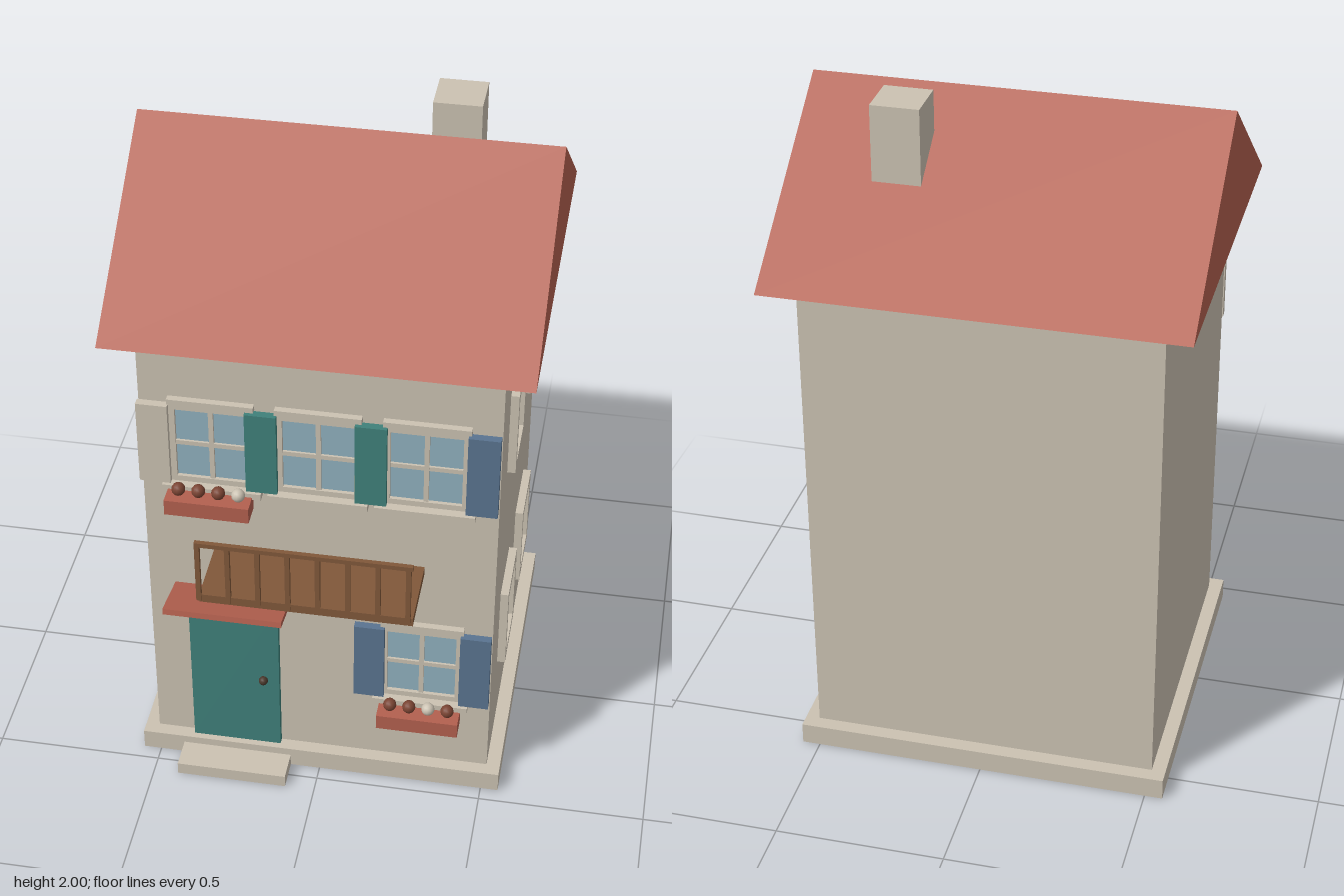
import * as THREE from 'three';

const mat = (name, color) => Object.assign(new THREE.MeshStandardMaterial({ color }), { name });

export function createModel() {
  const M = {
    stone: mat('stone', 0xcbc2b2),
    roof: mat('terracotta', 0xb3604f),
    wood: mat('wood', 0x80583a),
    teal: mat('teal paint', 0x3f807a),
    blue: mat('blue paint', 0x5a7490),
    glass: mat('glass', 0x90b0be),
    flower: mat('dark flower', 0x7a4433),
    knob: mat('dark metal', 0x4a382c),
  };
  const house = new THREE.Group();
  house.name = 'house';

  const add = (parent, name, geo, material, x = 0, y = 0, z = 0) => {
    const m = new THREE.Mesh(geo, material);
    m.name = name;
    m.position.set(x, y, z);
    parent.add(m);
    return m;
  };
  // Box given by its lower and upper limits on each axis
  const box = (parent, name, material, x0, x1, y0, y1, z0, z1) =>
    add(parent, name, new THREE.BoxGeometry(x1 - x0, y1 - y0, z1 - z0), material,
      (x0 + x1) / 2, (y0 + y1) / 2, (z0 + z1) / 2);
  const group = (name, x, y, z) => {
    const g = new THREE.Group();
    g.name = name;
    g.position.set(x, y, z);
    house.add(g);
    return g;
  };
  // Rectangular frame facing +z with an open middle
  const frameGeo = (w, h, border, depth) => {
    const rect = (S, a, b) => new S([[-a, -b], [a, -b], [a, b], [-a, b]].map(p => new THREE.Vector2(...p)));
    const s = rect(THREE.Shape, w / 2, h / 2);
    s.holes.push(rect(THREE.Path, w / 2 - border, h / 2 - border));
    return new THREE.ExtrudeGeometry(s, { depth, bevelEnabled: false });
  };

  // Body
  const front = 0.415;
  box(house, 'plinth', M.stone, -0.553, 0.553, 0, 0.065, -0.595, 0.455);
  box(house, 'doorStep', M.stone, -0.425, -0.09, 0, 0.04, 0.44, 0.55);
  box(house, 'walls', M.stone, -0.512, 0.512, 0.065, 1.55, -0.552, front);
  box(house, 'chimney', M.stone, 0.215, 0.355, 1.7, 2, -0.335, -0.195);

  // Gable roof, a prism along x
  const gable = new THREE.Shape([[-0.497, 1.55], [0.64, 1.55], [0.07, 1.97]].map(p => new THREE.Vector2(...p)));
  const roofGeo = new THREE.ExtrudeGeometry(gable, { depth: 1.2, bevelEnabled: false });
  roofGeo.translate(0, 0, -0.6).rotateY(Math.PI / 2);
  add(house, 'roof', roofGeo, M.roof);

  // Door and canopy tilted upward
  box(house, 'door', M.teal, -0.395, -0.125, 0.065, 0.62, front - 0.01, 0.435);
  add(house, 'doorKnob', new THREE.SphereGeometry(0.014, 12, 8), M.knob, -0.172, 0.33, 0.443);
  const canopy = add(house, 'doorCanopy', new THREE.BoxGeometry(0.35, 0.018, 0.17), M.roof, -0.26, 0.673, 0.497);
  canopy.rotation.x = -0.215;

  // Front windows
  const frontWindow = (x, y) => {
    const g = group('frontWindow', x, y, front);
    box(g, 'windowGlass', M.glass, -0.11, 0.11, -0.125, 0.125, -0.005, 0.005);
    add(g, 'windowFrame', frameGeo(0.24, 0.27, 0.018, 0.016), M.stone);
    box(g, 'verticalBar', M.stone, -0.007, 0.007, -0.12, 0.12, 0, 0.013);
    box(g, 'horizontalBar', M.stone, -0.105, 0.105, -0.007, 0.007, 0, 0.012);
    box(g, 'lintel', M.stone, -0.123, 0.123, 0.133, 0.152, 0, 0.02);
    box(g, 'windowSill', M.stone, -0.143, 0.143, -0.158, -0.137, 0, 0.04);
  };
  const upperY = 1.2, lowerY = 0.462;
  for (const x of [-0.305, 0, 0.305]) frontWindow(x, upperY);
  frontWindow(0.305, lowerY);

  // Shutters
  for (const [x, y, m] of [
    [-0.469, upperY, M.stone], [-0.161, upperY, M.teal], [0.15, upperY, M.teal],
    [0.465, upperY, M.blue], [0.15, lowerY, M.blue], [0.465, lowerY, M.blue],
  ]) box(house, 'shutter', m, x - 0.045, x + 0.045, y - 0.135, y + 0.135, 0.423, 0.447);

  // Windows of the left wall
  for (const z of [0.124, -0.262]) for (const y of [upperY, lowerY]) {
    const g = group('sideWindow', 0.512, y, z);
    g.rotation.y = Math.PI / 2;
    box(g, 'sideGlass', M.glass, -0.1, 0.1, -0.12, 0.12, -0.005, 0.004);
    add(g, 'sideFrame', frameGeo(0.22, 0.272, 0.025, 0.024), M.stone);
  }

  // Flower boxes
  const flowerBox = (x, y, paleIndex) => {
    const g = group('flowerBox', x, y, 0.475);
    box(g, 'planter', M.roof, -0.122, 0.122, -0.025, 0.025, -0.035, 0.035);
    for (let i = 0; i < 4; i++) {
      add(g, 'flower', new THREE.SphereGeometry(0.02, 12, 8),
        i === paleIndex ? M.stone : M.flower, -0.086 + i * 0.0575, 0.045, 0);
    }
  };
  flowerBox(-0.309, 1.025, 3);
  flowerBox(0.305, 0.282, 2);

  // Balcony with a front railing
  box(house, 'balconyFloor', M.wood, -0.307, 0.305, 0.803, 0.83, front - 0.01, 0.64);
  box(house, 'balconyRail', M.wood, -0.315, 0.303, 1.008, 1.022, 0.631, 0.645);
  for (let i = 0; i < 8; i++) {
    const x = -0.308 + i * 0.0855;
    box(house, 'baluster', M.wood, x - 0.007, x + 0.007, 0.81, 1.01, 0.631, 0.644);
  }
  return house;
}
